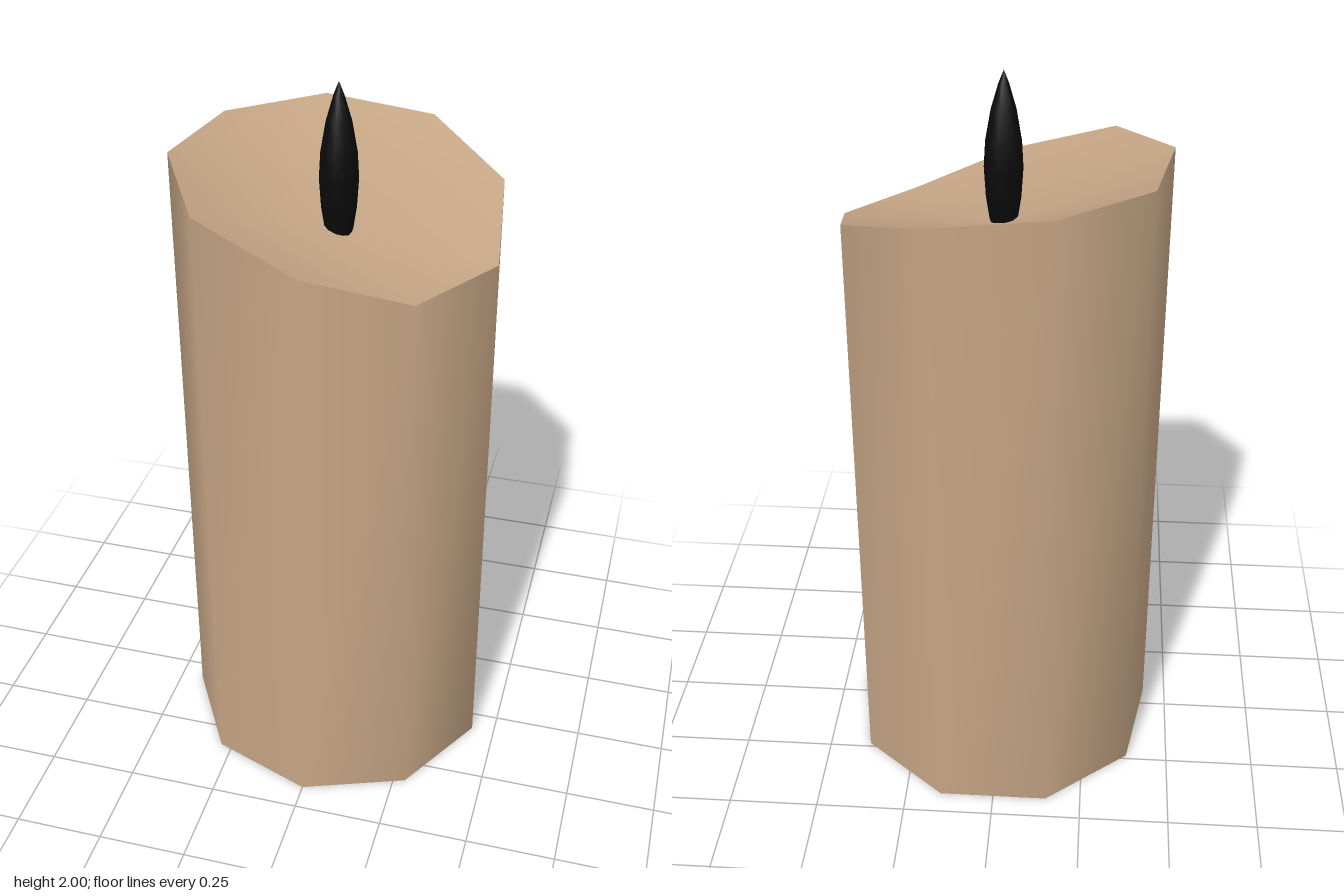
import * as THREE from 'three';

const SIDES = 9, RADIUS = 0.441, CENTRE_Z = -0.016;

// Smooth-shaded surface from points and triangle indices
function surface(name, points, indices, material) {
  const g = new THREE.BufferGeometry().setFromPoints(points);
  g.setIndex(indices);
  g.computeVertexNormals();
  const mesh = new THREE.Mesh(g, material);
  mesh.name = name;
  return mesh;
}

export function createModel() {
  const model = new THREE.Group();
  model.name = 'candle';
  const wax = new THREE.MeshStandardMaterial({ color: 0xc4a484 });
  wax.name = 'tan wax';
  const black = new THREE.MeshStandardMaterial({ color: 0x0a0a0a });
  black.name = 'black wick';

  // Bottom ring, counter-clockwise from the front corner
  const bottom = [];
  for (let i = 0; i < SIDES; i++) {
    const a = (i / SIDES) * Math.PI * 2;
    bottom.push(new THREE.Vector3(Math.sin(a) * RADIUS, 0, CENTRE_Z + Math.cos(a) * RADIUS));
  }

  // Sloping, melted rim; the three lowest corners sag inwards
  const rimHeights = [1.655, 1.57, 1.585, 1.68, 1.76, 1.79, 1.79, 1.79, 1.75];
  const rim = bottom.map((p, i) => p.clone().setY(rimHeights[i]));
  rim[0].z = 0.387;
  rim[1].x = 0.263;
  rim[1].z = 0.287;
  rim[2].x = 0.424;

  const wall = [], topFan = [], bottomFan = [];
  for (let i = 0; i < SIDES; i++) {
    const j = (i + 1) % SIDES;
    wall.push(i, j, SIDES + j, i, SIDES + j, SIDES + i);
    topFan.push(SIDES, i, j);
    bottomFan.push(SIDES, j, i);
  }
  model.add(surface('waxWall', [...bottom, ...rim], wall, wax));
  model.add(surface('waxHollow', [...rim, new THREE.Vector3(0, 1.6, -0.01)], topFan, wax));
  model.add(surface('waxBase', [...bottom, new THREE.Vector3(0, 0, CENTRE_Z)], bottomFan, wax));

  // Pointed wick
  const profile = [
    [0, 1.585], [0.03, 1.587], [0.037, 1.61], [0.046, 1.67], [0.051, 1.75],
    [0.047, 1.82], [0.033, 1.9], [0.014, 1.965], [0, 2],
  ].map(([r, y]) => new THREE.Vector2(r, y));
  const wick = new THREE.Mesh(new THREE.LatheGeometry(profile, 11), black);
  wick.name = 'wick';
  wick.position.set(-0.001, 0, 0.004);
  model.add(wick);

  return model;
}
